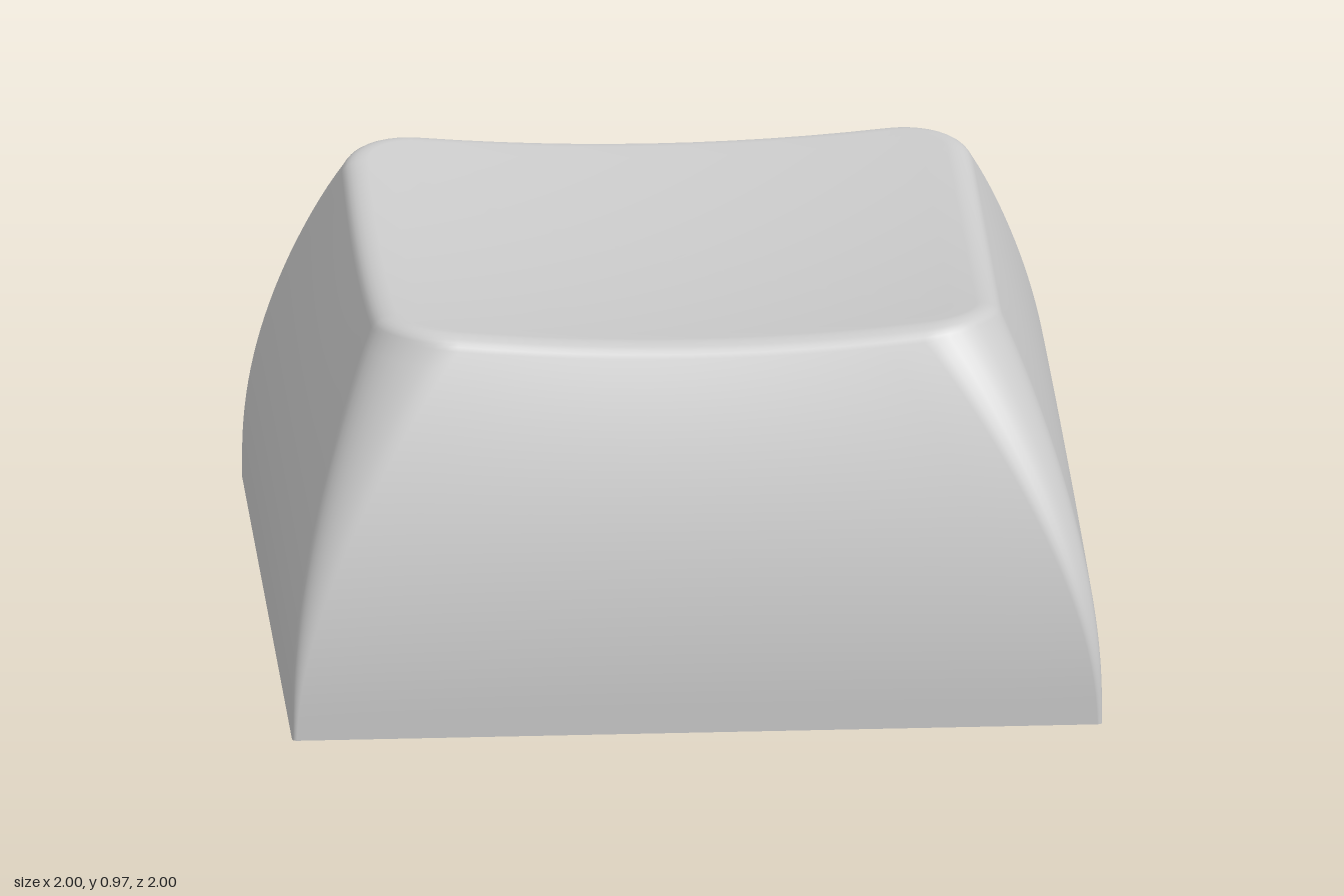
import * as THREE from 'three';

const CORNER = 10, SIDE = 12;

// Rounded-square loop with half width w and corner radius r; height(x, z) gives y.
// bow pulls the outline in slightly away from the middle of each side.
function ring(w, r, height, bow = 0) {
  const pts = [];
  const add = (x, z) => {
    const px = x * (1 - bow * z * z), pz = z * (1 - bow * x * x);
    pts.push([px, height(px, pz), pz]);
  };
  for (let q = 0; q < 4; q++) {
    const a0 = q * Math.PI / 2, c = Math.round(Math.cos(a0)), s = Math.round(Math.sin(a0));
    const turn = (x, z) => add(x * c - z * s, x * s + z * c);
    for (let i = 0; i < SIDE; i++) turn(w, (w - r) * (2 * i / SIDE - 1));
    for (let i = 0; i < CORNER; i++) {
      const a = i / CORNER * Math.PI / 2;
      turn(w - r + r * Math.cos(a), w - r + r * Math.sin(a));
    }
  }
  return pts;
}

// Skin a stack of loops; flip turns the faces inward.
function loft(name, rings, { flip = false, flat = false } = {}) {
  const n = rings[0].length, index = [];
  for (let i = 0; i < rings.length - 1; i++) {
    for (let j = 0; j < n; j++) {
      const k = (j + 1) % n;
      const a = i * n + j, b = i * n + k, c = a + n, d = b + n;
      if (flip) index.push(a, b, c, b, d, c);
      else index.push(a, c, b, b, c, d);
    }
  }
  const geo = new THREE.BufferGeometry();
  geo.setAttribute('position', new THREE.Float32BufferAttribute(rings.flat(2), 3));
  geo.setIndex(index);
  geo.computeVertexNormals();
  const mesh = new THREE.Mesh(geo, new THREE.MeshStandardMaterial({ color: 0xcccccc, flatShading: flat }));
  mesh.name = name;
  return mesh;
}

export function createModel() {
  const group = new THREE.Group();
  group.name = 'keycap';
  const level = y => () => y;
  const dish = (x, z) => 0.884 + 0.09 * (x * x + z * z);
  const ceiling = (x, z) => 0.7 + 0.09 * (x * x + z * z);
  const BOW = 0.02;

  // Curved outer walls, whose corners grow rounder toward the top
  const outer = [];
  const STEPS = 24;
  for (let i = 0; i <= STEPS; i++) {
    const t = i / STEPS;
    const w = 1 - 0.215 * Math.max(0, (t - 0.08) / 0.92) ** 2;
    const r = 0.012 + 0.19 * t ** 1.5;
    const y = (x, z) => t * 0.89 + t ** 4 * (dish(x, z) - 0.04 - 0.89);
    outer.push(ring(w, r, y, BOW * t * t));
  }

  // Soft lip between walls and top
  for (let i = 1; i <= 6; i++) {
    const t = i / 6, u = 1 - t;
    const w = u * u * 0.785 + 2 * u * t * 0.77 + t * t * 0.72;
    const drop = u * u * 0.04 + 2 * u * t * 0.004;
    outer.push(ring(w, w - 0.583, (x, z) => dish(x, z) - drop, BOW));
  }

  // Dished top
  for (let i = 1; i <= 12; i++) {
    const s = 1 - i / 12;
    outer.push(ring(0.72 * s, 0.137 * s, dish, BOW));
  }
  group.add(loft('outerShell', outer));

  // Flat rim around the underside opening
  group.add(loft('bottomRim', [ring(0.8, 0.001, level(0)), ring(1, 0.012, level(0))], { flat: true }));

  // Straight tapered walls of the cavity
  group.add(loft('cavityWalls',
    [ring(0.8, 0.001, level(0)), ring(0.57, 0.001, level(0.64))], { flip: true, flat: true }));

  // Upper cavity, rounding its corners up to the ceiling
  const upper = [];
  for (let i = 0; i <= 8; i++) {
    const t = i / 8;
    upper.push(ring(0.57 - 0.06 * t * t, 0.001 + 0.2 * t,
      (x, z) => 0.64 + t * (ceiling(x, z) - 0.64)));
  }
  group.add(loft('upperCavity', upper, { flip: true }));

  // Dished ceiling
  const top = [];
  for (let i = 0; i <= 8; i++) top.push(ring(0.51 * (1 - i / 8), 0.201 * (1 - i / 8), ceiling));
  group.add(loft('cavityCeiling', top, { flip: true }));

  return group;
}
